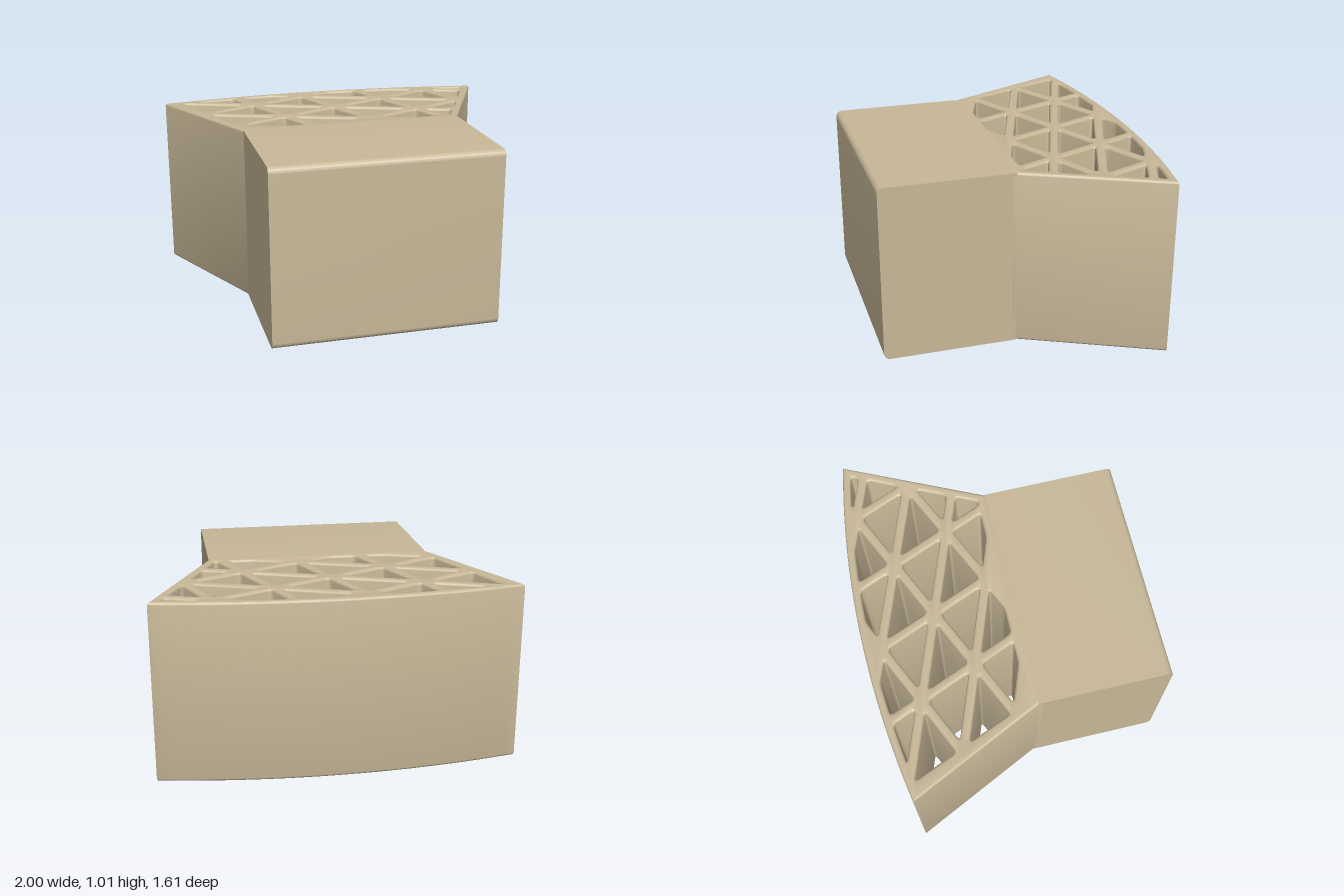
import * as THREE from 'three';
import { toCreasedNormals } from 'three/addons/utils/BufferGeometryUtils.js';

const H = 1.01, HALF = 0.64, JOIN = 0.05, BEVEL = 0.014;
const V = (x, y) => new THREE.Vector2(x, y);

// Keep the part of a convex polygon lying at least `inset` left of the line p -> q.
function clip(poly, p, q, inset) {
  const d = q.clone().sub(p).normalize();
  const dist = (r) => d.x * (r.y - p.y) - d.y * (r.x - p.x) - inset;
  const out = [];
  poly.forEach((r, i) => {
    const s = poly[(i + 1) % poly.length];
    const dr = dist(r), ds = dist(s);
    if (dr >= 0) out.push(r);
    if (dr * ds < 0) out.push(r.clone().lerp(s, dr / (dr - ds)));
  });
  return out;
}

// Closed path with softened corners; nearly straight corners stay as they are.
function roundedPath(poly, radius) {
  const path = new THREE.Path();
  const n = poly.length;
  poly.forEach((c, i) => {
    const p = poly[(i + n - 1) % n], q = poly[(i + 1) % n];
    const u = p.clone().sub(c), w = q.clone().sub(c);
    const lu = u.length(), lw = w.length();
    const straight = u.dot(w) / (lu * lw) < -0.98;
    const a = straight ? c : c.clone().addScaledVector(u, Math.min(radius / lu, 0.4));
    const b = straight ? c : c.clone().addScaledVector(w, Math.min(radius / lw, 0.4));
    if (i === 0) path.moveTo(a.x, a.y);
    else path.lineTo(a.x, a.y);
    if (!straight) path.quadraticCurveTo(c.x, c.y, b.x, b.y);
  });
  path.closePath();
  return path;
}

// Curved back wall: drawn in plan, with the plan's y pointing to the back.
const R = 5.31, CY = 0.805 - R;
const arcY = (x, r) => CY + Math.sqrt(r * r - x * x);

// Triangular openings left between the lattice struts.
function latticeHoles() {
  const inner = [V(-1.05, 0), V(1.05, 0)];
  for (let i = 0; i <= 24; i++) {
    const x = 1.05 - (2.1 * i) / 24;
    inner.push(V(x, arcY(x, R - 0.045)));
  }
  let area = clip(inner, V(HALF, -JOIN), V(1, 0.71), 0.048);
  area = clip(area, V(-1, 0.71), V(-HALF, -JOIN), 0.048);

  const a = V(0.335, 0.155), b = V(0.135, -0.325);
  const node = (i, j) => V(0, 0.385).addScaledVector(a, i).addScaledVector(b, j);
  const holes = [];
  for (let i = -5; i <= 5; i++) for (let j = -5; j <= 5; j++) {
    const tris = [
      [node(i, j), node(i + 1, j + 1), node(i + 1, j)],
      [node(i, j), node(i, j + 1), node(i + 1, j + 1)],
    ];
    for (const t of tris) {
      let poly = area;
      t.forEach((p, k) => { poly = clip(poly, p, t[(k + 1) % 3], 0.027); });
      poly = poly.filter((p, k) => p.distanceTo(poly[(k + 1) % poly.length]) > 0.012);
      if (poly.length > 2 && Math.abs(THREE.ShapeUtils.area(poly)) > 0.0025) {
        holes.push(roundedPath(poly, 0.025));
      }
    }
  }
  return holes;
}

export function createModel() {
  const group = new THREE.Group();
  const material = new THREE.MeshStandardMaterial({ color: 0xc8b898 });
  const add = (name, geometry) => {
    const mesh = new THREE.Mesh(toCreasedNormals(geometry, 0.6), material);
    mesh.name = name;
    group.add(mesh);
  };

  // Solid block: side profile with rounded front edges, extruded across x.
  const r = 0.035;
  const profile = new THREE.Shape();
  profile.moveTo(JOIN, 0);
  profile.lineTo(0.8 - r, 0);
  profile.absarc(0.8 - r, r, r, -Math.PI / 2, 0);
  profile.absarc(0.8 - r, H - r, r, 0, Math.PI / 2);
  profile.lineTo(JOIN, H);
  profile.closePath();
  const block = new THREE.ExtrudeGeometry(profile, { depth: 2 * HALF, bevelEnabled: false, curveSegments: 8 });
  block.rotateY(-Math.PI / 2).translate(HALF, 0, 0);
  add('solidBlock', block);

  // Flared lattice: fan outline with openings through its full height.
  const fan = new THREE.Shape();
  fan.moveTo(-HALF, -JOIN - 0.02);
  fan.lineTo(HALF, -JOIN - 0.02);
  fan.lineTo(HALF, -JOIN);
  for (let i = 0; i <= 32; i++) {
    const x = 1 - i / 16;
    fan.lineTo(x, arcY(x, R));
  }
  fan.lineTo(-HALF, -JOIN);
  fan.closePath();
  fan.holes = latticeHoles();
  const lattice = new THREE.ExtrudeGeometry(fan, {
    depth: H - 2 * BEVEL, curveSegments: 4,
    bevelEnabled: true, bevelSize: BEVEL, bevelThickness: BEVEL, bevelOffset: -BEVEL, bevelSegments: 3,
  });
  lattice.rotateX(-Math.PI / 2).translate(0, BEVEL, 0);
  add('flaredLattice', lattice);

  return group;
}
